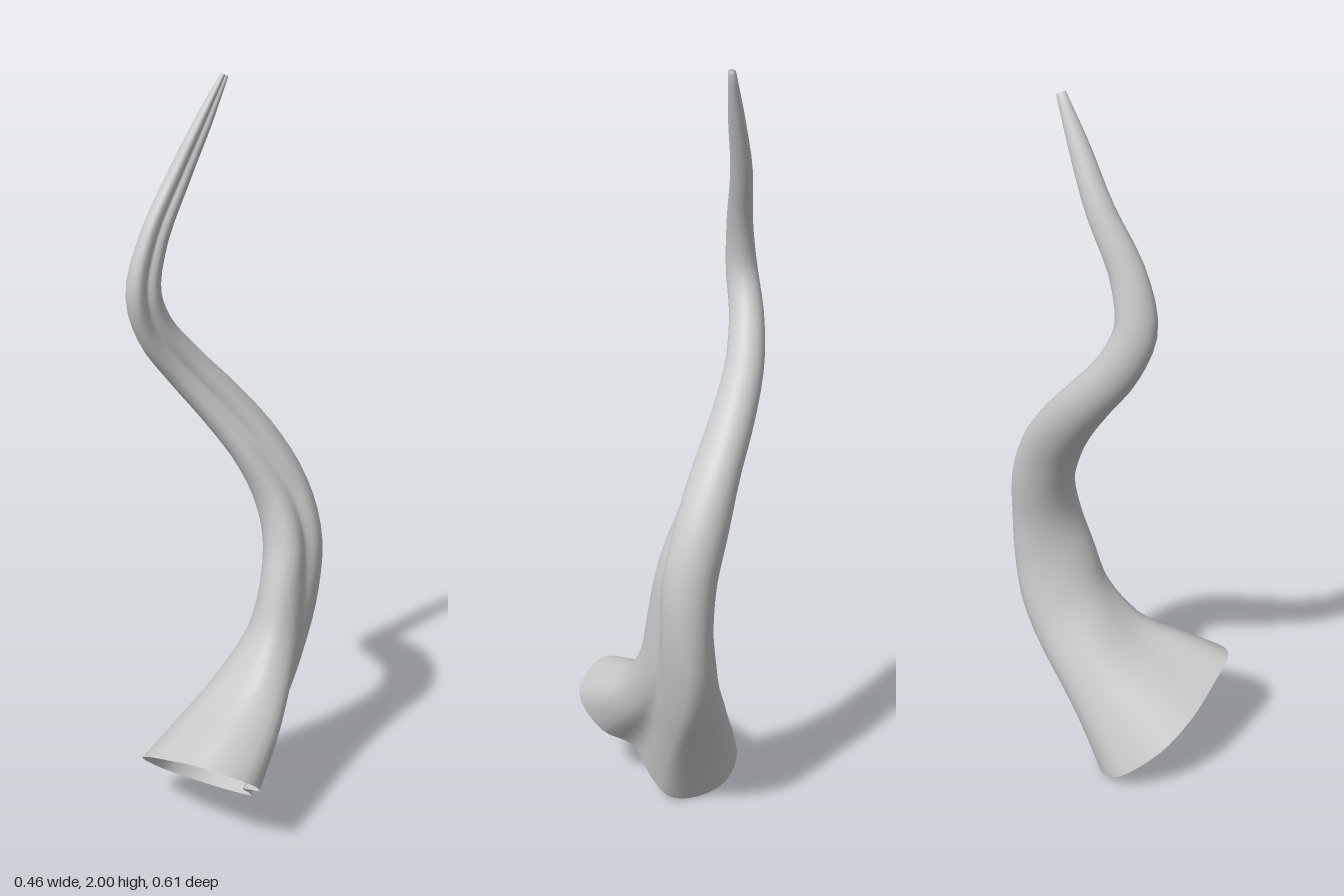
import * as THREE from 'three';

// Spine stations: centre x, y, z, half width, half depth
const STATIONS = [
  [0.03, 0.15, 0.13, 0.2, 0.235],
  [0.075, 0.31, -0.045, 0.135, 0.145],
  [0.108, 0.47, -0.15, 0.09, 0.128],
  [0.123, 0.62, -0.188, 0.077, 0.115],
  [0.118, 0.76, -0.208, 0.078, 0.095],
  [0.08, 0.89, -0.208, 0.074, 0.085],
  [0.018, 1.02, -0.175, 0.064, 0.08],
  [-0.06, 1.14, -0.122, 0.058, 0.071],
  [-0.13, 1.25, -0.055, 0.052, 0.062],
  [-0.175, 1.36, 0.02, 0.047, 0.057],
  [-0.183, 1.47, 0.063, 0.043, 0.053],
  [-0.165, 1.6, 0.042, 0.035, 0.045],
  [-0.13, 1.75, -0.028, 0.029, 0.035],
  [-0.088, 1.88, -0.078, 0.022, 0.026],
  [-0.05, 1.997, -0.124, 0.01, 0.012],
];

// Notched outline of the open base, in units of half width and half depth
const RIM = [
  [-0.15, -1], [0.25, -0.9], [0.4, -0.6], [0.47, -0.2], [0.85, 0.1], [0.98, 0.62],
  [0.43, 1], [-0.15, 0.77], [-0.65, 0.47], [-0.98, 0.04], [-1, -0.58], [-0.68, -0.9],
];

const SIDES = 48;
const RINGS = 48;

function hornGeometry() {
  const spine = new THREE.CatmullRomCurve3(STATIONS.map(([x, y, z]) => new THREE.Vector3(x, y, z)));
  const sizes = new THREE.CatmullRomCurve3(STATIONS.map((s) => new THREE.Vector3(s[3], s[4], 0)));
  const rim = new THREE.CatmullRomCurve3(RIM.map(([u, v]) => new THREE.Vector3(u, v, 0)), true);
  const rimTangent = new THREE.Vector3(0, 0.77, -0.64);
  const positions = [];
  const index = [];

  for (let i = 0; i <= RINGS; i++) {
    const t = i / RINGS;
    const centre = spine.getPoint(t);
    const size = sizes.getPoint(t);
    const tangent = spine.getTangent(t).lerp(rimTangent, Math.max(0, 1 - t * 12)).normalize();
    const u = new THREE.Vector3(1, 0, 0).addScaledVector(tangent, -tangent.x).normalize();
    const v = new THREE.Vector3().crossVectors(u, tangent);
    // The base outline fades into an oval whose groove turns towards the front
    const blend = 1 - THREE.MathUtils.smoothstep(t, 0, 0.25);
    const grooveAngle = THREE.MathUtils.lerp(-0.3, 0.6, Math.min(1, t / 0.4));
    for (let j = 0; j < SIDES; j++) {
      const p = rim.getPoint(j / SIDES);
      const angle = Math.atan2(p.y, p.x);
      const d = Math.atan2(Math.sin(angle - grooveAngle), Math.cos(angle - grooveAngle));
      const r = 1 - 0.35 * Math.exp(-((d / 0.4) ** 2));
      const a = THREE.MathUtils.lerp(Math.cos(angle) * r, p.x, blend) * size.x;
      const b = THREE.MathUtils.lerp(Math.sin(angle) * r, p.y, blend) * size.y;
      const q = centre.clone().addScaledVector(u, a).addScaledVector(v, b);
      positions.push(q.x, q.y, q.z);
    }
  }
  for (let i = 0; i < RINGS; i++) {
    for (let j = 0; j < SIDES; j++) {
      const k = (j + 1) % SIDES;
      const a = i * SIDES + j, b = i * SIDES + k;
      index.push(a, a + SIDES, b, b, a + SIDES, b + SIDES);
    }
  }
  // Close the tip
  const tip = spine.getPoint(1);
  positions.push(tip.x, tip.y, tip.z);
  const last = RINGS * SIDES;
  for (let j = 0; j < SIDES; j++) index.push(last + j, last + SIDES, last + ((j + 1) % SIDES));

  const geometry = new THREE.BufferGeometry();
  geometry.setAttribute('position', new THREE.Float32BufferAttribute(positions, 3));
  geometry.setIndex(index);
  geometry.computeVertexNormals();
  return geometry;
}

export function createModel() {
  const group = new THREE.Group();
  group.name = 'spiralHorn';
  // Hollow horn, open at the base
  const horn = new THREE.Mesh(
    hornGeometry(),
    new THREE.MeshStandardMaterial({ color: 0xcccccc, side: THREE.DoubleSide }),
  );
  horn.name = 'horn';
  group.add(horn);
  return group;
}
